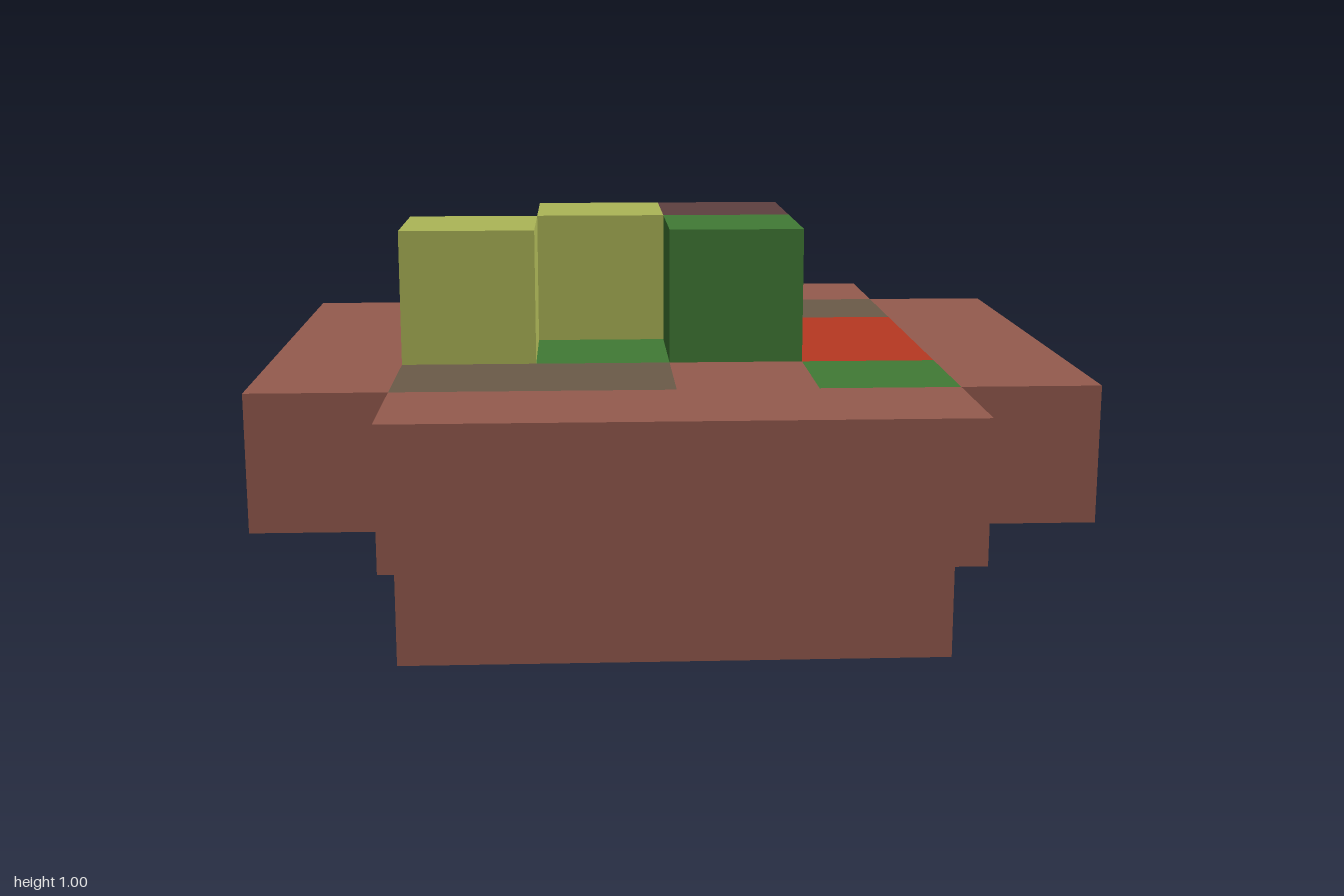
import * as THREE from 'three';

const U = 1 / 3; // size of one block

const mat = (name, color) => {
  const m = new THREE.MeshStandardMaterial({ color });
  m.name = name;
  return m;
};

export function createModel() {
  const clay = mat('clay', 0x955b4e);
  const green = mat('leafGreen', 0x417b35);
  const lime = mat('lime', 0xadb657);
  const plum = mat('plumBrown', 0x5f4040);
  const red = mat('red', 0xb83822);
  const stone = mat('stone', 0x6c5b49);

  const model = new THREE.Group();
  model.name = 'blockPlanter';

  // Box given by its size and minimum corner, all in block units
  const block = (name, material, [w, h, d], [x, y, z]) => {
    const mesh = new THREE.Mesh(new THREE.BoxGeometry(w * U, h * U, d * U), material);
    mesh.position.set((x + w / 2) * U, (y + h / 2) * U, (z + d / 2) * U);
    mesh.name = name;
    model.add(mesh);
  };

  // Pot base and the four overhanging rim bars
  block('base', clay, [4, 1, 4], [-2, 0, -2]);
  block('rimFront', clay, [4, 1, 1], [-2, 1, 2]);
  block('rimBack', clay, [4, 1, 1], [-2, 1, -3]);
  block('rimLeft', clay, [1, 1, 4], [2, 1, -2]);
  block('rimRight', clay, [1, 1, 4], [-3, 1, -2]);

  // Flush floor inside the rim: rows run back to front, columns right to left
  const floorMaterials = { g: green, s: stone, r: red, c: clay };
  const tile = new THREE.PlaneGeometry(U, U).rotateX(-Math.PI / 2);
  ['gggs', 'cccr', 'cgcr', 'sscg'].forEach((row, j) => {
    [...row].forEach((key, i) => {
      const mesh = new THREE.Mesh(tile, floorMaterials[key]);
      mesh.position.set((i - 1.5) * U, 2 * U, (j - 1.5) * U);
      mesh.name = 'floorTile';
      model.add(mesh);
    });
  });

  // Cubes standing on the floor
  const cubes = [
    ['limeCubeFront', lime, -2, 0],
    ['limeCubeBack', lime, -1, -1],
    ['plumCube', plum, 0, -1],
    ['greenCube', green, 0, 0],
  ];
  for (const [name, material, x, z] of cubes) block(name, material, [1, 1, 1], [x, 2, z]);

  return model;
}
